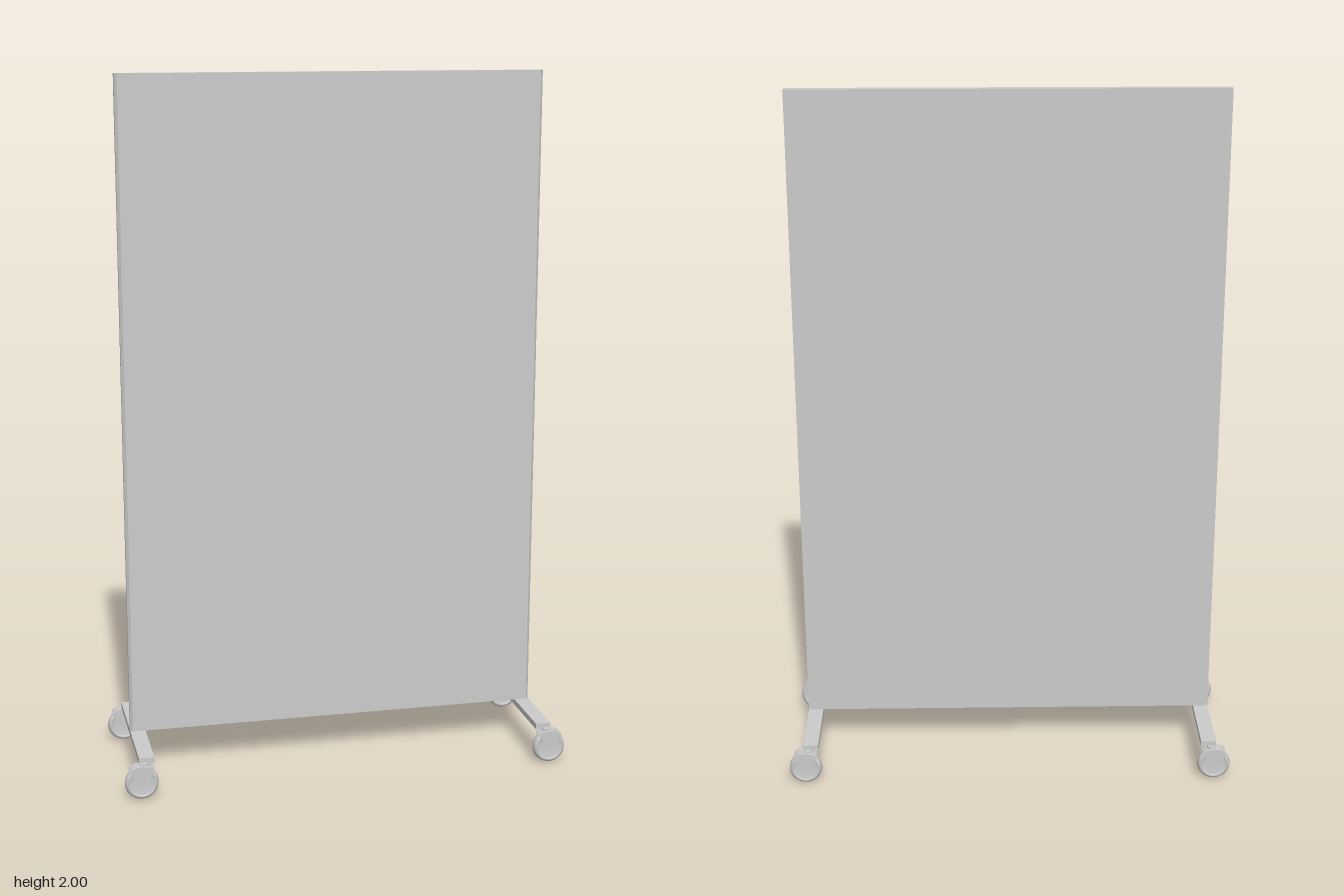
import * as THREE from 'three';

const material = new THREE.MeshStandardMaterial({ color: 0xcccccc });

function add(parent, name, geometry, x = 0, y = 0, z = 0) {
  const mesh = new THREE.Mesh(geometry, material);
  mesh.name = name;
  mesh.position.set(x, y, z);
  parent.add(mesh);
  return mesh;
}

// Flat outline in x/y, given thickness centred on z
function slab(shape, depth) {
  return new THREE.ExtrudeGeometry(shape, { depth, bevelEnabled: false, curveSegments: 16 })
    .translate(0, 0, -depth / 2);
}

// Wheel with a rounded tread, axis along z, radius 0.048
function wheelGeometry() {
  const points = [[0, -0.010], [0.034, -0.010], [0.036, -0.014], [0.041, -0.014], [0.046, -0.009],
    [0.048, 0], [0.046, 0.009], [0.041, 0.014], [0.036, 0.014], [0.034, 0.010], [0, 0.010]]
    .map(([r, h]) => new THREE.Vector2(r, h));
  return new THREE.LatheGeometry(points, 32).rotateX(Math.PI / 2);
}

// Cheek: arched top narrowing to a round boss at the axle
function cheekShape() {
  const shape = new THREE.Shape();
  shape.moveTo(-0.010, -0.002);
  shape.lineTo(-0.031, 0.030);
  shape.absarc(0, 0, 0.0485, Math.PI - 0.77, 0.77, true);
  shape.lineTo(0.010, -0.002);
  shape.absarc(0, 0, 0.010, -0.2, -Math.PI + 0.2, true);
  return shape;
}

// Curved strip joining the two cheeks above the wheel
function crownShape() {
  const shape = new THREE.Shape();
  shape.absarc(0, 0, 0.0505, 0.85, Math.PI - 0.85, false);
  shape.absarc(0, 0, 0.0485, Math.PI - 0.85, 0.85, true);
  return shape;
}

function createCaster() {
  const caster = new THREE.Group();
  caster.name = 'caster';
  add(caster, 'wheel', wheelGeometry(), 0, 0.048, 0);
  for (const side of [-1, 1]) {
    add(caster, 'forkCheek', slab(cheekShape(), 0.003), 0, 0.05, side * 0.0175);
  }
  add(caster, 'forkCrown', slab(crownShape(), 0.038), 0, 0.05, 0);
  add(caster, 'axle', new THREE.CylinderGeometry(0.006, 0.006, 0.038, 16).rotateX(Math.PI / 2), 0, 0.048, 0);
  add(caster, 'swivelStem', new THREE.CylinderGeometry(0.012, 0.012, 0.006, 20), -0.008, 0.101, 0);
  return caster;
}

// Panel outline seen from above, front edges slightly bevelled, raised to full height
function panelGeometry() {
  const shape = new THREE.Shape([[-0.607, 0.005], [0.607, 0.005], [0.607, -0.009], [0.599, -0.017],
    [-0.599, -0.017], [-0.607, -0.009]].reverse().map(([x, y]) => new THREE.Vector2(x, y)));
  return new THREE.ExtrudeGeometry(shape, { depth: 1.883, bevelEnabled: false }).rotateX(-Math.PI / 2);
}

export function createModel() {
  const model = new THREE.Group();
  model.name = 'mobilePartition';

  add(model, 'panel', panelGeometry(), 0, 0.117, 0);

  // Foot bars with a caster under each end
  for (const side of [-1, 1]) {
    const foot = new THREE.Group();
    foot.name = side > 0 ? 'leftFoot' : 'rightFoot';
    add(foot, 'footBar', new THREE.BoxGeometry(0.044, 0.017, 0.442), side * 0.585, 0.1085, -0.001);
    for (const end of [-1, 1]) {
      const caster = createCaster();
      caster.position.set(side * 0.601, 0, end * 0.223);
      if (side < 0) caster.rotation.y = Math.PI;
      foot.add(caster);
    }
    model.add(foot);
  }
  return model;
}
